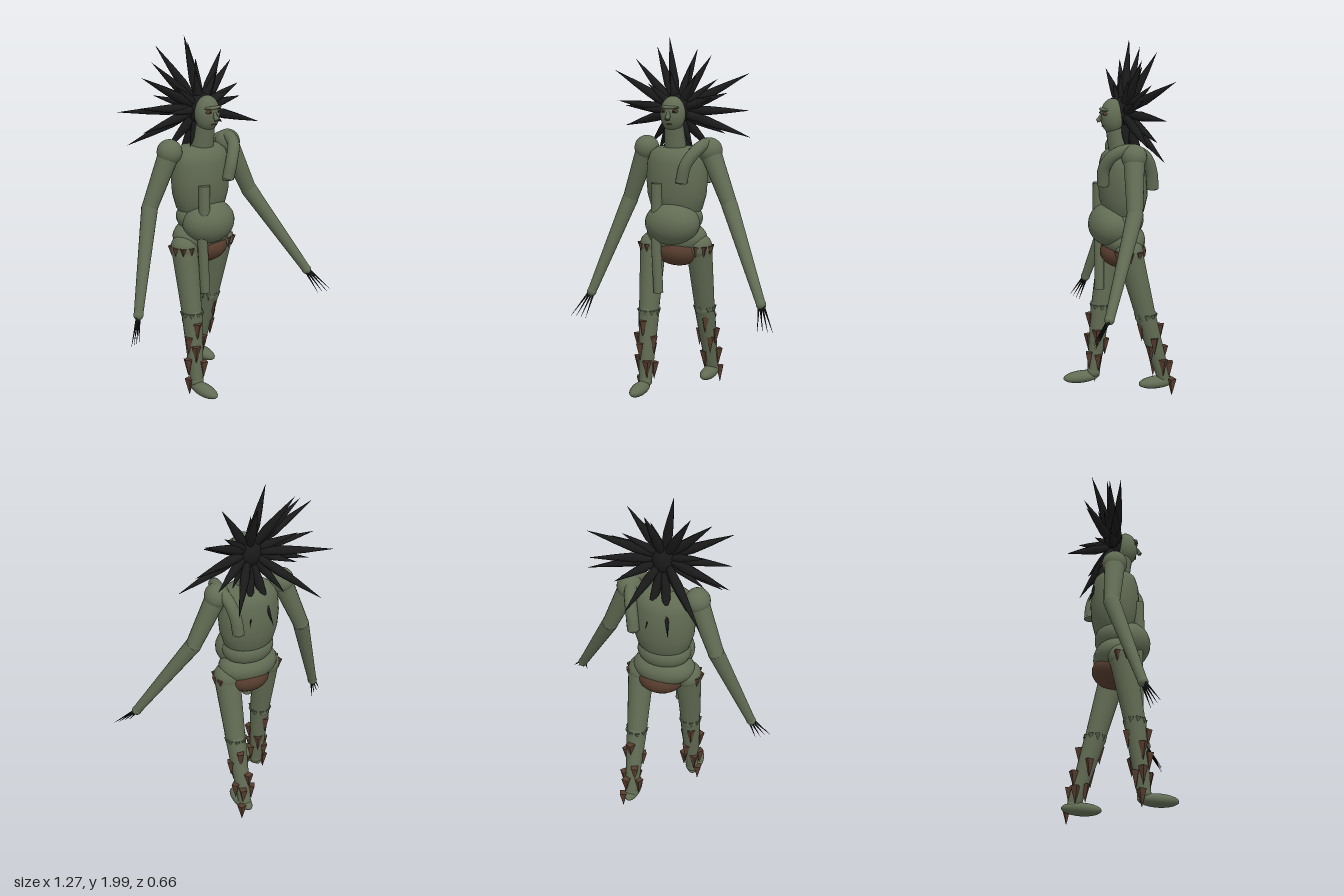
import * as THREE from 'three';

const mat = (name, color, opts = {}) => {
  const m = new THREE.MeshStandardMaterial({ color, ...opts });
  m.name = name;
  return m;
};
const V = (p) => new THREE.Vector3(...p);
const UP = new THREE.Vector3(0, 1, 0);

export function createModel() {
  const model = new THREE.Group();
  model.name = 'spikyHairedFigure';
  const skin = mat('mossGreenSkin', 0x626c54);
  const hairMat = mat('blackHair', 0x1a1a1b);
  const brown = mat('brownHide', 0x573d2e);
  const flatBrown = brown.clone();
  flatBrown.flatShading = true;

  const add = (name, geo, material, parent = model) => {
    const mesh = new THREE.Mesh(geo, material);
    mesh.name = name;
    parent.add(mesh);
    return mesh;
  };
  const ball = (name, c, r, material = skin, parent = model) => {
    const mesh = add(name, new THREE.SphereGeometry(1, 24, 16), material, parent);
    mesh.position.set(...c);
    mesh.scale.set(...r);
    return mesh;
  };
  // Tapered cylinder running from a (radius ra) to b (radius rb)
  const limb = (name, a, b, ra, rb, material = skin, parent = model, sides = 18) => {
    const d = V(b).sub(V(a));
    const mesh = add(name, new THREE.CylinderGeometry(rb, ra, d.length(), sides), material, parent);
    mesh.position.copy(V(a)).addScaledVector(d, 0.5);
    mesh.quaternion.setFromUnitVectors(UP, d.normalize());
    return mesh;
  };
  const lerp = (a, b, t) => V(a).lerp(V(b), t).toArray();
  const lathe = (pts, sides) => new THREE.LatheGeometry(pts.map((p) => new THREE.Vector2(...p)), sides);

  // Torso
  const chest = add('chest', lathe([[0, 0.98], [0.1, 1.0], [0.145, 1.06], [0.168, 1.14], [0.175, 1.23],
    [0.168, 1.32], [0.15, 1.37], [0.11, 1.4], [0, 1.41]], 28), skin);
  chest.position.set(-0.045, 0, -0.035);
  chest.scale.z = 0.77;
  ball('waist', [-0.045, 1.01, -0.03], [0.15, 0.1, 0.115]);
  ball('belly', [-0.045, 0.985, 0.035], [0.155, 0.122, 0.125]);
  ball('pelvis', [-0.045, 0.9, -0.03], [0.175, 0.1, 0.122]);
  ball('loincloth', [-0.03, 0.83, -0.03], [0.135, 0.09, 0.128], brown);
  limb('neck', [-0.045, 1.37, -0.02], [-0.045, 1.52, 0.01], 0.062, 0.052);

  // Head and face
  const head = new THREE.Group();
  head.name = 'head';
  head.position.set(-0.045, 1.585, 0.025);
  model.add(head);
  ball('skull', [0, 0, 0], [0.07, 0.097, 0.066], skin, head);
  ball('brow', [0, 0.038, 0.05], [0.056, 0.01, 0.02], skin, head);
  for (const s of [-1, 1]) {
    ball('eye', [s * 0.03, 0.018, 0.052], [0.021, 0.01, 0.012], brown, head);
    ball('pupil', [s * 0.03, 0.018, 0.061], [0.008, 0.006, 0.005], hairMat, head);
  }
  limb('nose', [0, 0.02, 0.055], [0, -0.025, 0.083], 0.008, 0.014, skin, head, 6);
  limb('noseTip', [0, -0.005, 0.065], [0, -0.03, 0.088], 0.016, 0.002, skin, head, 6);
  ball('mouth', [0, -0.052, 0.055], [0.018, 0.004, 0.006], brown, head);

  // Hair: a cap with leaf-shaped spikes fanning out of it
  const hair = new THREE.Group();
  hair.name = 'hair';
  model.add(hair);
  const root = [-0.045, 1.6, -0.035];
  ball('hairCap', root, [0.068, 0.088, 0.066], hairMat, hair);
  const spike = (tip, width = 0.027) => {
    const d = V(tip).sub(V(root));
    const len = d.length();
    const mesh = add('hairSpike', lathe([[0.008, 0], [width * 0.8, len * 0.2], [width, len * 0.4],
      [width * 0.65, len * 0.65], [0, len]], 7), hairMat, hair);
    mesh.position.set(...root);
    mesh.quaternion.setFromUnitVectors(UP, d.normalize());
  };
  const tips = [
    [-0.11, 1.995, -0.09], [-0.225, 1.94, -0.19], [-0.315, 1.87, -0.1], [-0.42, 1.81, -0.05],
    [-0.445, 1.6, -0.24], [-0.42, 1.64, -0.08], [-0.38, 1.5, -0.1], [-0.32, 1.38, -0.33],
    [0.01, 1.93, -0.21], [0.14, 1.9, -0.08], [0.315, 1.8, -0.21], [0.335, 1.6, -0.15],
    [0.38, 1.465, -0.04], [0.24, 1.7, -0.06], [0.2, 1.47, -0.14],
    [-0.11, 1.2, -0.19], [0.02, 1.22, -0.17], [-0.12, 1.4, -0.03], [0.05, 1.4, -0.03],
    [0.12, 1.34, -0.22], [-0.2, 1.36, -0.15],
  ];
  tips.forEach((t) => spike(t));
  // Shorter filler spikes in a front and a back fan
  for (let i = 0; i < 12; i++) {
    const a = -0.35 + (i / 11) * (Math.PI + 0.7);
    const r = 0.22 + 0.04 * (i % 2);
    spike([root[0] + Math.cos(a) * r, root[1] + Math.sin(a) * r, i % 2 ? -0.13 : -0.03], 0.023);
  }

  // Arms: shoulder ball, two tapered segments, four claws
  const arm = (side, S, E, W, tipA, tipB) => {
    const g = new THREE.Group();
    g.name = side + 'Arm';
    model.add(g);
    ball('shoulder', S, [0.069, 0.069, 0.069], skin, g);
    limb('upperArm', S, E, 0.058, 0.043, skin, g);
    ball('elbow', E, [0.044, 0.044, 0.044], skin, g);
    limb('forearm', E, W, 0.045, 0.025, skin, g);
    ball('hand', W, [0.027, 0.027, 0.027], skin, g);
    for (let i = 0; i < 4; i++) {
      const tip = lerp(tipA, tipB, i / 3);
      const base = V(W).addScaledVector(V(tip).sub(V(lerp(tipA, tipB, 0.5))), 0.3).toArray();
      limb('claw', base, tip, 0.007, 0.0005, hairMat, g, 6);
    }
  };
  arm('left', [0.148, 1.388, -0.035], [0.275, 1.1, 0.0], [0.53, 0.62, 0.22], [0.63, 0.5, 0.325], [0.54, 0.5, 0.31]);
  arm('right', [-0.235, 1.385, -0.06], [-0.35, 1.09, -0.09], [-0.535, 0.56, 0.045], [-0.635, 0.425, 0.115], [-0.56, 0.41, 0.08]);

  // Downward pointing hide scale
  const scale = (c, len, r, parent, turn) => {
    const mesh = add('hideScale', new THREE.ConeGeometry(r, len, 4), flatBrown, parent);
    mesh.position.set(...c);
    mesh.rotation.set(Math.PI, turn, 0);
  };
  // Legs, with ragged cuffs and scaled shins
  const leg = (side, H, K, A, foot, s) => {
    const g = new THREE.Group();
    g.name = side + 'Leg';
    model.add(g);
    ball('hip', H, [0.073, 0.075, 0.078], skin, g);
    limb('thigh', H, K, 0.073, 0.056, skin, g);
    ball('knee', K, [0.056, 0.056, 0.06], skin, g);
    limb('shin', K, A, 0.058, 0.036, skin, g);
    ball('ankle', A, [0.038, 0.038, 0.038], skin, g);
    const f = ball('foot', foot, [0.043, 0.035, 0.108], skin, g);
    f.rotation.x = 0.03;
    for (let i = 0; i < 9; i++) {
      const a = (i / 9) * Math.PI * 2;
      const cuff = limb('raggedCuff', [K[0] + Math.sin(a) * 0.05, K[1] + 0.015, K[2] + Math.cos(a) * 0.05],
        [K[0] + Math.sin(a) * 0.052, K[1] - 0.025, K[2] + Math.cos(a) * 0.052], 0.018, 0.002, skin, g, 5);
      cuff.name = 'raggedCuff';
    }
    const rows = [[0.39, 0.2], [0.38, 2.9], [0.31, 1.3], [0.3, -1.2], [0.26, 0.5], [0.24, 3.6],
      [0.18, 1.6], [0.165, -0.5], [0.16, 2.6], [0.06, 2.1], [0.15, -1.8]];
    for (const [y, a] of rows) {
      const t = (K[1] - y) / (K[1] - A[1]);
      const c = lerp(K, A, t);
      const r = 0.056 - 0.012 * t;
      scale([c[0] + s * Math.sin(a) * r, y, c[2] + Math.cos(a) * r], 0.1, 0.027, g, a);
    }
    for (const a of [0.1, 0.75, 1.4, 2.1]) {
      scale([H[0] + s * Math.sin(a) * 0.068, 0.832, H[2] + Math.cos(a) * 0.07], 0.06, 0.022, g, a);
    }
  };
  leg('left', [0.088, 0.85, -0.03], [0.088, 0.48, -0.125], [0.092, 0.1, -0.235], [0.092, 0.087, -0.193], 1);
  leg('right', [-0.178, 0.85, -0.01], [-0.178, 0.48, 0.055], [-0.182, 0.09, 0.1], [-0.187, 0.062, 0.17], -1);

  // Cord hanging down the front, and one draped over the left shoulder
  limb('upperHangingCord', [-0.115, 1.21, 0.085], [-0.118, 0.95, 0.09], 0.032, 0.03);
  limb('lowerHangingCord', [-0.125, 0.92, 0.08], [-0.108, 0.6, 0.085], 0.028, 0.027);
  const drape = new THREE.CatmullRomCurve3([[0.035, 1.225, 0.105], [0.06, 1.32, 0.105], [0.11, 1.4, 0.06],
    [0.135, 1.425, -0.02], [0.12, 1.38, -0.11], [0.1, 1.29, -0.15], [0.09, 1.2, -0.16]].map(V));
  add('shoulderCord', new THREE.TubeGeometry(drape, 30, 0.033, 14), skin);
  const cap = (t) => ball('cordEnd', drape.getPoint(t).toArray(), [0.033, 0.01, 0.033]);
  cap(0);
  cap(1);

  return model;
}
